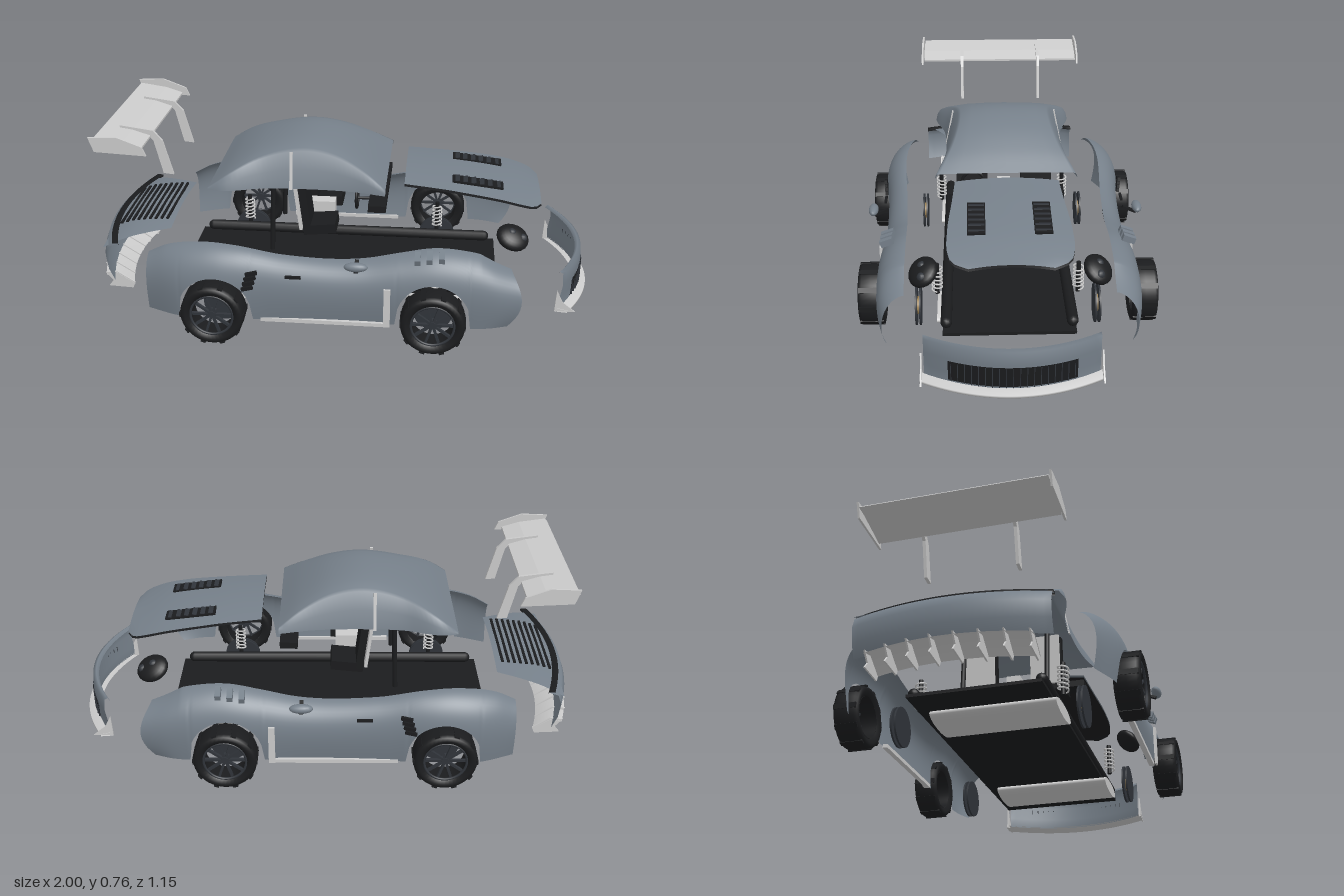
import * as THREE from 'three';

const mat = (color) => new THREE.MeshStandardMaterial({ color, side: THREE.DoubleSide });
const BODY = mat(0x76808a), DARK = mat(0x1b1c1e), RIM = mat(0x30343a), SILVER = mat(0xcccccc), GOLD = mat(0x9a7f52);

// smooth height-by-position curve through [x, value] pairs
function smooth(pts) {
  const c = new THREE.CubicInterpolant(pts.map(p => p[0]), pts.map(p => p[1]), 1);
  return (x) => c.evaluate(THREE.MathUtils.clamp(x, pts[0][0], pts.at(-1)[0]))[0];
}

// skin a surface over a row of equally long cross-sections
function loft(sections) {
  const n = sections[0].length, idx = [];
  for (let i = 0; i < sections.length - 1; i++)
    for (let j = 0; j < n - 1; j++) {
      const a = i * n + j, b = a + n;
      idx.push(a, b, a + 1, b, b + 1, a + 1);
    }
  const g = new THREE.BufferGeometry();
  g.setAttribute('position', new THREE.Float32BufferAttribute(sections.flat(2), 3));
  g.setIndex(idx);
  g.computeVertexNormals();
  return g;
}
const steps = (a, b, n) => Array.from({ length: n + 1 }, (_, i) => a + (b - a) * i / n);

function add(parent, name, geo, material, x = 0, y = 0, z = 0, rx = 0, ry = 0, rz = 0) {
  const m = new THREE.Mesh(geo, material);
  m.name = name;
  m.position.set(x, y, z);
  m.rotation.set(rx, ry, rz);
  parent.add(m);
  return m;
}
const box = (w, h, d) => new THREE.BoxGeometry(w, h, d);

// extrude an outline in the side plane, centred across z
function plate(pts, depth) {
  const s = new THREE.Shape(pts.map(p => new THREE.Vector2(...p)));
  return new THREE.ExtrudeGeometry(s, { depth, bevelEnabled: false }).translate(0, 0, -depth / 2);
}

const WHEEL_X = [-0.455, 0.38], WHEEL_Y = 0.138;

// side panel with cut wheel arches, on the +z side
function sidePanel() {
  const top = smooth([[-0.73, 0.31], [-0.65, 0.35], [-0.5, 0.376], [-0.38, 0.37], [-0.2, 0.335], [0, 0.32],
    [0.12, 0.327], [0.25, 0.353], [0.38, 0.376], [0.5, 0.368], [0.6, 0.345], [0.71, 0.30]]);
  const out = smooth([[-0.73, 0.465], [-0.6, 0.515], [-0.45, 0.53], [-0.25, 0.51], [0.1, 0.5], [0.4, 0.51], [0.6, 0.5], [0.71, 0.475]]);
  const inn = smooth([[-0.73, 0.39], [-0.4, 0.425], [-0.1, 0.41], [0.3, 0.39], [0.71, 0.385]]);
  return loft(steps(-0.73, 0.71, 130).map((x) => {
    let yb = 0.09;
    for (const c of WHEEL_X) {
      const d = 0.14 ** 2 - (x - c) ** 2;
      if (d > 0) yb = Math.max(yb, WHEEL_Y - 0.01 + Math.sqrt(d));
    }
    const yt = top(x), hb = (yb - 0.09) / (yt - 0.09), k = Math.max(0, (x - 0.55) / 0.16);
    return steps(0, 1, 16).map((t) => {
      const h = hb + (1 - hb) * Math.sin(t * Math.PI / 2), y = 0.09 + h * (yt - 0.09);
      const z = inn(x) + (out(x) - inn(x)) * Math.max(0, 1 - h ** 4) ** 0.6 - 0.02 * (1 - h) ** 2;
      return [x - k * 0.04 * ((y - 0.2) / 0.1) ** 2, y, z];
    });
  }));
}

function wheel() {
  const g = new THREE.Group();
  g.name = 'wheel';
  const tyre = [[0.082, -0.04], [0.1, -0.05], [0.114, -0.047], [0.121, -0.035], [0.122, 0], [0.121, 0.035],
    [0.114, 0.047], [0.1, 0.05], [0.084, 0.04], [0.08, 0.03], [0.08, -0.04]].map(p => new THREE.Vector2(...p));
  add(g, 'tyre', new THREE.LatheGeometry(tyre, 40), DARK, 0, 0, 0, Math.PI / 2);
  add(g, 'rimRing', new THREE.TorusGeometry(0.081, 0.005, 8, 40), RIM, 0, 0, 0.038);
  add(g, 'hub', new THREE.CylinderGeometry(0.014, 0.018, 0.03, 16), RIM, 0, 0, 0.02, Math.PI / 2);
  for (let i = 0; i < 10; i++) {
    const a = i * Math.PI / 5;
    add(g, 'spoke', box(0.068, 0.009, 0.012), RIM, 0.046 * Math.cos(a), 0.046 * Math.sin(a), 0.027, 0, 0, a);
    add(g, 'treadBlock', box(0.006, 0.02, 0.09), DARK, 0.12 * Math.cos(a), 0.12 * Math.sin(a), 0, 0, 0, a);
  }
  return g;
}

// everything that sits on one flank, built for +z
function flank() {
  const g = new THREE.Group();
  g.name = 'flank';
  add(g, 'sidePanel', sidePanel(), BODY);
  add(g, 'sill', box(0.48, 0.015, 0.02), SILVER, -0.04, 0.09, 0.485);
  add(g, 'sillPost', box(0.025, 0.16, 0.01), SILVER, 0.205, 0.17, 0.503);
  add(g, 'doorHandle', box(0.06, 0.01, 0.01), DARK, -0.15, 0.285, 0.505);
  for (let i = 0; i < 4; i++) add(g, 'sideVent', box(0.045, 0.014, 0.012), DARK, -0.325 + i * 0.006, 0.235 + i * 0.021, 0.515, 0, 0, 0.25);
  for (let i = 0; i < 3; i++) add(g, 'fenderGill', box(0.022, 0.025, 0.05), BODY, 0.315 + i * 0.045, 0.365 + i * 0.006, 0.46, 0.35);
  const mirror = add(g, 'mirror', new THREE.SphereGeometry(1, 16, 10), BODY, 0.09, 0.357, 0.535);
  mirror.scale.set(0.045, 0.018, 0.02);
  add(g, 'mirrorStalk', box(0.015, 0.01, 0.06), DARK, 0.09, 0.345, 0.505, 0.4);
  const coil = new THREE.CatmullRomCurve3(steps(0, 1, 60).map(t =>
    new THREE.Vector3(0.02 * Math.cos(t * 37), t * 0.1, 0.02 * Math.sin(t * 37))));
  for (const x of WHEEL_X) {
    const w = wheel();
    w.position.set(x, WHEEL_Y, 0.525);
    g.add(w);
    for (const z of [0.342, 0.358]) add(g, 'brakeDisc', new THREE.CylinderGeometry(0.077, 0.077, 0.007, 32), RIM, x, 0.08, z, Math.PI / 2);
    add(g, 'brakeHub', new THREE.CylinderGeometry(0.035, 0.035, 0.022, 20), GOLD, x, 0.08, 0.35, Math.PI / 2);
    add(g, 'spring', new THREE.TubeGeometry(coil, 90, 0.0035, 5), SILVER, x, 0.15, 0.275);
    add(g, 'damper', new THREE.CylinderGeometry(0.009, 0.009, 0.13, 10), DARK, x, 0.2, 0.275);
  }
  // teardrop headlamp
  const lamp = add(g, 'headlamp', new THREE.SphereGeometry(1, 20, 14), DARK, 0.67, 0.397, 0.312, 0.55, 0, -0.35);
  lamp.scale.set(0.065, 0.03, 0.058);
  for (const dx of [-0.02, 0.022]) add(g, 'lampLens', new THREE.SphereGeometry(0.018, 12, 8), RIM, 0.685 + dx, 0.408 - dx * 0.5, 0.315);
  add(g, 'floorRail', new THREE.CapsuleGeometry(0.022, 1.2, 4, 10), DARK, -0.015, 0.13, 0.237, 0, 0, Math.PI / 2);
  add(g, 'rollPost', new THREE.CylinderGeometry(0.01, 0.01, 0.31, 10), DARK, -0.275, 0.385, 0.17, 0, 0, -0.04);
  // seat
  add(g, 'seatBack', box(0.03, 0.2, 0.13), DARK, -0.145, 0.43, 0.135, 0, 0, 0.12);
  add(g, 'seatShell', box(0.012, 0.2, 0.12), SILVER, -0.172, 0.432, 0.135, 0, 0, 0.12);
  add(g, 'seatCushion', box(0.13, 0.04, 0.13), DARK, -0.085, 0.34, 0.135, 0, 0, 0.1);
  return g;
}

// roof shell with sloping side windows
function roof() {
  const top = smooth([[-0.51, 0.54], [-0.43, 0.602], [-0.32, 0.66], [-0.15, 0.7], [-0.02, 0.678], [0.1, 0.615], [0.18, 0.555]]);
  const low = smooth([[-0.51, 0.28], [-0.45, 0.29], [-0.3, 0.25], [-0.15, 0.24], [0.05, 0.25], [0.18, 0.28]]);
  return loft(steps(-0.51, 0.18, 36).map((x) => {
    const yt = top(x), zl = low(x), h = yt - 0.532, zt = zl - h * 0.3;
    const half = [[0.532, zl], [0.532 + h * 0.45, zl - h * 0.1], [0.532 + h * 0.82, zt], [0.532 + h * 0.88, zt - 0.012],
      [yt - h * 0.04, zt * 0.7], [yt - h * 0.01, zt * 0.35]];
    return [...half.map(([y, z]) => [x, y, z]), [x, yt, 0], ...half.reverse().map(([y, z]) => [x, y, -z])];
  }));
}

// bow a side section around the nose or tail
const bow = (section, width, drop) => loft(steps(-1, 1, 28).map(u => section.map(([x, y]) => [x + drop * u * u, y, u * width])));

export function createModel() {
  const car = new THREE.Group();
  car.name = 'explodedCar';
  const left = flank(), right = flank();
  right.scale.z = -1;
  car.add(left, right);

  // chassis
  add(car, 'floor', box(1.29, 0.012, 0.5), DARK, -0.015, 0.105, 0);
  for (const x of WHEEL_X) add(car, 'underTray', new THREE.CylinderGeometry(1, 1, 0.47, 28), SILVER, x, 0.073, 0.04, Math.PI / 2).scale.set(0.11, 1, 0.026);
  add(car, 'tunnel', box(0.12, 0.07, 0.055), SILVER, -0.1, 0.35, 0);
  add(car, 'dashboard', box(0.07, 0.027, 0.46), DARK, 0.145, 0.452, 0);
  add(car, 'steeringWheel', new THREE.TorusGeometry(0.045, 0.006, 8, 28), DARK, 0.06, 0.462, 0.13, 0, Math.PI / 2, 0.25);
  add(car, 'steeringColumn', new THREE.CylinderGeometry(0.006, 0.006, 0.08, 8), DARK, 0.1, 0.455, 0.13, 0, 0, Math.PI / 2);

  // roof with window pillars
  add(car, 'roof', roof(), BODY);
  for (const s of [-1, 1]) add(car, 'windowPillar', box(0.012, 0.15, 0.006), SILVER, -0.19, 0.6, s * 0.226, -s * 0.2);

  // hood and vents
  const hoodY = smooth([[0.25, 0.567], [0.45, 0.55], [0.65, 0.522], [0.785, 0.485]]);
  const hoodZ = smooth([[0.25, 0.2], [0.4, 0.21], [0.6, 0.225], [0.72, 0.22], [0.76, 0.2], [0.785, 0.15]]);
  const hoodSkin = (drop) => loft(steps(0.25, 0.785, 24).map(x => steps(-1, 1, 12).map(u =>
    [x, hoodY(x) - drop - 0.014 * u * u, u * hoodZ(x)])));
  add(car, 'hood', hoodSkin(0), BODY);
  add(car, 'hoodLiner', hoodSkin(0.01), DARK);
  for (const z of [-0.12, 0.12]) {
    add(car, 'hoodVent', box(0.2, 0.008, 0.065), DARK, 0.535, hoodY(0.535) - 0.002, z, 0, 0, -0.12);
    for (let i = 0; i < 6; i++) add(car, 'ventSlat', box(0.018, 0.003, 0.058), RIM, 0.455 + i * 0.032, hoodY(0.455 + i * 0.032) + 0.004, z, 0, 0, 0.2);
  }

  // front bumper, grille and splitter
  add(car, 'frontBumper', bow([[0.945, 0.245], [0.955, 0.258], [0.968, 0.25], [0.972, 0.2], [0.962, 0.14], [0.965, 0.1]], 0.31, -0.095), BODY);
  add(car, 'splitter', bow([[0.95, 0.09], [1.0, 0.086], [1.0, 0.095], [0.96, 0.104]], 0.325, -0.1), SILVER);
  add(car, 'grille', bow([[0.974, 0.192], [0.967, 0.11]], 0.225, -0.05), DARK);
  for (let i = 0; i < 19; i++) {
    const u = i / 9 - 1;
    add(car, 'grilleBar', box(0.006, 0.078, 0.003), RIM, 0.974 - 0.05 * u * u, 0.15, u * 0.215);
  }
  for (const s of [-1, 1]) add(car, 'canard', plate([[0.85, 0.09], [0.93, 0.09], [0.88, 0.13], [0.855, 0.18]], 0.006), SILVER, 0, 0, s * 0.32);

  // rear deck with louvres
  const deckY = smooth([[-0.93, 0.312], [-0.85, 0.338], [-0.76, 0.35], [-0.68, 0.354]]);
  add(car, 'rearDeck', loft(steps(-0.93, -0.68, 10).map(x => steps(-1, 1, 10).map(u =>
    [x, deckY(x) - 0.02 * u * u, u * (0.23 - (x + 0.68) * 0.45)]))), BODY);
  for (let i = 0; i < 9; i++) add(car, 'louvre', box(0.01, 0.006, 0.36), DARK, -0.9 + i * 0.024, deckY(-0.9 + i * 0.024), 0);

  // rear bumper and finned diffuser
  add(car, 'rearBumper', bow([[-0.925, 0.315], [-0.965, 0.3], [-0.98, 0.26], [-0.972, 0.2], [-0.95, 0.15]], 0.35, 0.06), BODY);
  add(car, 'bumperEdge', bow([[-0.925, 0.305], [-0.925, 0.315], [-0.95, 0.315], [-0.95, 0.305]], 0.35, 0.06), DARK);
  add(car, 'diffuser', bow([[-0.995, 0.14], [-0.95, 0.15], [-0.88, 0.105]], 0.29, 0.05), SILVER);
  for (let i = 0; i < 8; i++) {
    const u = i / 3.5 - 1;
    add(car, 'diffuserFin', plate([[-1.0, 0.15], [-0.95, 0.155], [-0.88, 0.11], [-0.89, 0.085], [-0.99, 0.09], [-0.97, 0.115]], 0.006),
      SILVER, 0.05 * u * u, 0, u * 0.285);
  }

  // rear wing, end plates and swan-neck struts
  add(car, 'wing', plate([[-0.94, 0.738], [-0.9, 0.735], [-0.82, 0.718], [-0.75, 0.702], [-0.75, 0.71], [-0.82, 0.732], [-0.93, 0.748]], 0.7), SILVER);
  for (const s of [-1, 1]) {
    add(car, 'endPlate', plate([[-0.94, 0.762], [-0.83, 0.766], [-0.735, 0.73], [-0.72, 0.695], [-0.92, 0.705]], 0.008), SILVER, 0, 0, s * 0.357);
    add(car, 'wingStrut', plate([[-0.87, 0.748], [-0.74, 0.73], [-0.705, 0.69], [-0.668, 0.548], [-0.708, 0.552], [-0.74, 0.69], [-0.76, 0.712], [-0.87, 0.735]], 0.012), SILVER, 0, 0, s * 0.175);
  }
  return car;
}
